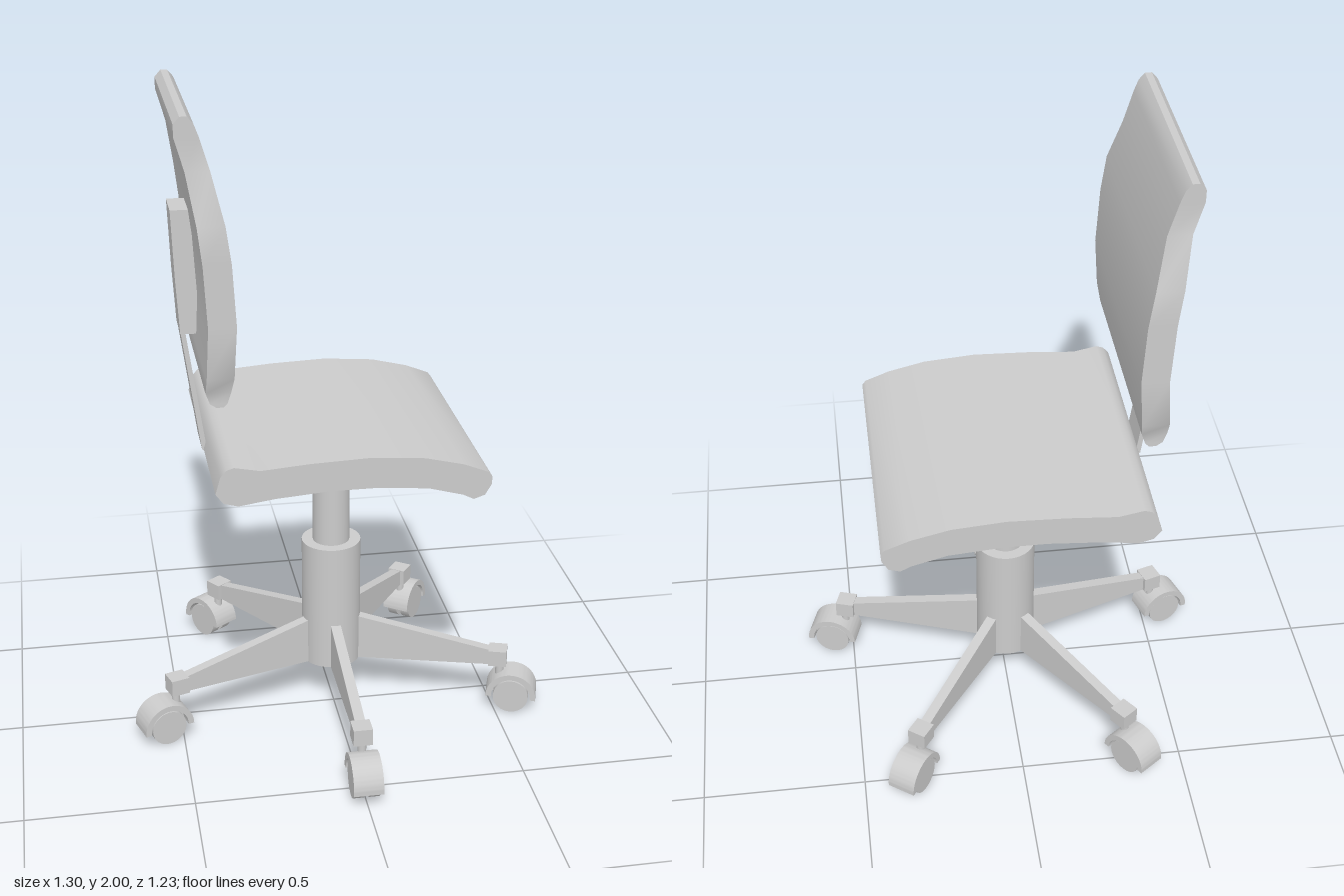
import * as THREE from 'three';
import { toCreasedNormals } from 'three/addons/utils/BufferGeometryUtils.js';

const material = new THREE.MeshStandardMaterial({ color: 0xcccccc });
const CENTRE_Z = -0.05;

function add(parent, name, geometry, x = 0, y = 0, z = 0) {
  const mesh = new THREE.Mesh(geometry, material);
  mesh.name = name;
  mesh.position.set(x, y, z);
  parent.add(mesh);
  return mesh;
}

// Side outline in x/y, given a thickness centred on z = 0
function slab(points, width, crease = 0.6) {
  const shape = points instanceof THREE.Shape
    ? points : new THREE.Shape(points.map(p => new THREE.Vector2(...p)));
  const geometry = new THREE.ExtrudeGeometry(shape, { depth: width, bevelEnabled: false, curveSegments: 20 });
  geometry.translate(0, 0, -width / 2);
  return toCreasedNormals(geometry, crease);
}

// Stack of rectangles from bottom to top: [y, back x, front x, half width]
function loft(rows) {
  const positions = [], index = [];
  for (const [y, back, front, w] of rows) {
    positions.push(back, y, w, front, y, w, front, y, -w, back, y, -w);
  }
  for (let i = 0; i < rows.length - 1; i++) {
    for (let j = 0; j < 4; j++) {
      const a = i * 4 + j, b = i * 4 + (j + 1) % 4;
      index.push(a, b, b + 4, a, b + 4, a + 4);
    }
  }
  const t = (rows.length - 1) * 4;
  index.push(t, t + 1, t + 2, t, t + 2, t + 3, 0, 2, 1, 0, 3, 2);
  const geometry = new THREE.BufferGeometry();
  geometry.setAttribute('position', new THREE.Float32BufferAttribute(positions, 3));
  geometry.setIndex(index);
  return toCreasedNormals(geometry, 0.6);
}

// Twin-wheel caster under the end of a leg, x pointing outwards
function createCaster() {
  const caster = new THREE.Group();
  caster.name = 'caster';
  const hood = new THREE.Shape();
  hood.absarc(0, 0, 0.08, -0.1, Math.PI, false);
  hood.absarc(0, 0, 0.062, Math.PI, -0.1, true);
  add(caster, 'casterHood', slab(hood, 0.09), 0, 0.06);
  const wheel = new THREE.CylinderGeometry(0.056, 0.056, 0.032, 24).rotateX(Math.PI / 2);
  for (const side of [-1, 1]) add(caster, 'casterWheel', wheel, 0, 0.06, side * 0.024);
  const web = new THREE.Shape();
  web.absarc(0, 0, 0.07, 0, Math.PI, false);
  add(caster, 'casterWeb', slab(web, 0.016), 0, 0.06);
  add(caster, 'casterStem', new THREE.CylinderGeometry(0.013, 0.013, 0.06, 12), -0.04, 0.145);
  return caster;
}

function createLeg() {
  const leg = new THREE.Group();
  leg.name = 'leg';
  add(leg, 'legBeam', slab([[0.05, 0.15], [0.53, 0.16], [0.53, 0.208], [0.09, 0.3], [0.05, 0.3]], 0.032, 0.1));
  add(leg, 'legEnd', new THREE.BoxGeometry(0.058, 0.053, 0.058), 0.54, 0.187);
  const caster = createCaster();
  caster.position.x = 0.587;
  leg.add(caster);
  return leg;
}

export function createModel() {
  const chair = new THREE.Group();
  chair.name = 'officeChair';

  // Five-legged base and gas column
  const base = new THREE.Group();
  base.name = 'base';
  base.position.z = CENTRE_Z;
  chair.add(base);
  for (let i = 0; i < 5; i++) {
    const leg = createLeg();
    leg.rotation.y = -Math.PI / 2 + i * Math.PI * 2 / 5;
    base.add(leg);
  }
  add(base, 'columnSleeve', new THREE.CylinderGeometry(0.093, 0.093, 0.417, 32), 0, 0.3585);
  add(base, 'columnPiston', new THREE.CylinderGeometry(0.058, 0.058, 0.36, 32), 0, 0.7);
  add(base, 'seatMount', slab([[-0.085, 0.925], [-0.085, 0.88], [-0.066, 0.837], [0.058, 0.837], [0.066, 0.925]], 0.13, 0.1));

  // Curved seat pad
  add(chair, 'seat', slab([
    [-0.4, 0.93], [-0.385, 0.982], [-0.367, 1.002], [-0.345, 1.009], [-0.27, 0.994], [-0.125, 1.005],
    [0.05, 1.011], [0.21, 0.998], [0.325, 0.97], [0.4, 0.94], [0.411, 0.925], [0.409, 0.9],
    [0.39, 0.868], [0.357, 0.857], [0.325, 0.873], [0.22, 0.902], [0.06, 0.915], [-0.07, 0.915],
    [-0.23, 0.903], [-0.335, 0.888], [-0.378, 0.9],
  ], 0.822), 0, 0, -0.066);

  // Bent strip and block that carry the backrest
  add(chair, 'backSupport', slab([
    [-0.07, 0.872], [-0.345, 0.872], [-0.405, 0.93], [-0.458, 1.31],
    [-0.444, 1.31], [-0.391, 0.937], [-0.338, 0.887], [-0.07, 0.887],
  ], 0.13, 0.1), 0, 0, CENTRE_Z);
  add(chair, 'backBlock', slab([
    [-0.458, 1.3], [-0.4, 1.3], [-0.4, 1.45], [-0.415, 1.675], [-0.476, 1.675], [-0.468, 1.47],
  ], 0.13, 0.1), 0, 0, CENTRE_Z);

  // Backrest, curved in side view and narrowed at top and bottom
  add(chair, 'backrest', loft([
    [1.175, -0.385, -0.365, 0.344], [1.187, -0.403, -0.353, 0.344], [1.22, -0.415, -0.342, 0.344],
    [1.27, -0.413, -0.335, 0.373], [1.42, -0.405, -0.325, 0.373], [1.6, -0.415, -0.335, 0.373],
    [1.71, -0.428, -0.35, 0.373], [1.85, -0.451, -0.382, 0.32], [1.945, -0.478, -0.41, 0.32],
    [1.98, -0.478, -0.423, 0.32], [2, -0.46, -0.44, 0.32],
  ]), 0, 0, CENTRE_Z);

  return chair;
}
